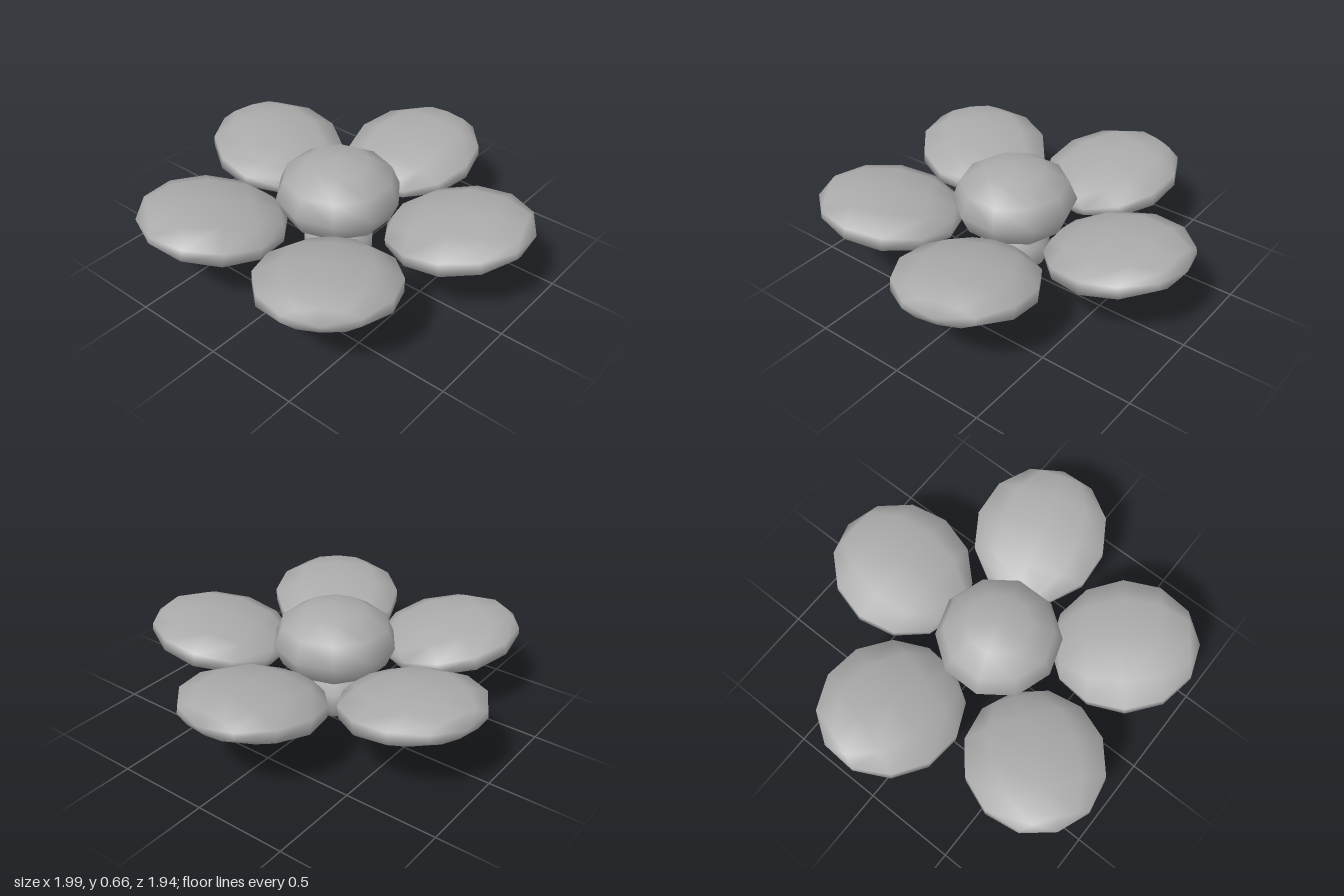
import * as THREE from 'three';

export function createModel() {
  const flower = new THREE.Group();
  flower.name = 'flower';
  const grey = new THREE.MeshStandardMaterial({ color: 0xaaaaaa });
  grey.name = 'grey';

  // Low-sided ball with its poles on y and a corner facing +z
  const ball = (rings, rx, ry, rz) =>
    new THREE.SphereGeometry(1, 10, rings).rotateY(Math.PI / 2).scale(rx, ry, rz);

  const add = (parent, name, geometry, y, z) => {
    const mesh = new THREE.Mesh(geometry, grey);
    mesh.name = name;
    mesh.position.set(0, y, z);
    parent.add(mesh);
    return mesh;
  };

  // Domed centre and the small bulb beneath it
  const axisZ = 0.063;
  add(flower, 'centre', ball(6, 0.33, 0.21, 0.33), 0.453, axisZ);
  add(flower, 'bulb', ball(5, 0.198, 0.16, 0.195), 0.164, axisZ);

  // Five flattened petals with their poles pointing outward, tips tilted up
  const petalGeometry = new THREE.SphereGeometry(1, 10, 6)
    .rotateY(Math.PI / 2)
    .rotateX(Math.PI / 2)
    .scale(0.375, 0.12, 0.387);
  for (let i = 0; i < 5; i++) {
    const arm = new THREE.Group();
    arm.name = `petalArm${i + 1}`;
    arm.position.z = axisZ;
    arm.rotation.y = Math.PI + (i * Math.PI * 2) / 5;
    const petal = add(arm, `petal${i + 1}`, petalGeometry, 0.39, 0.655);
    petal.rotation.x = -0.163;
    flower.add(arm);
  }
  return flower;
}
